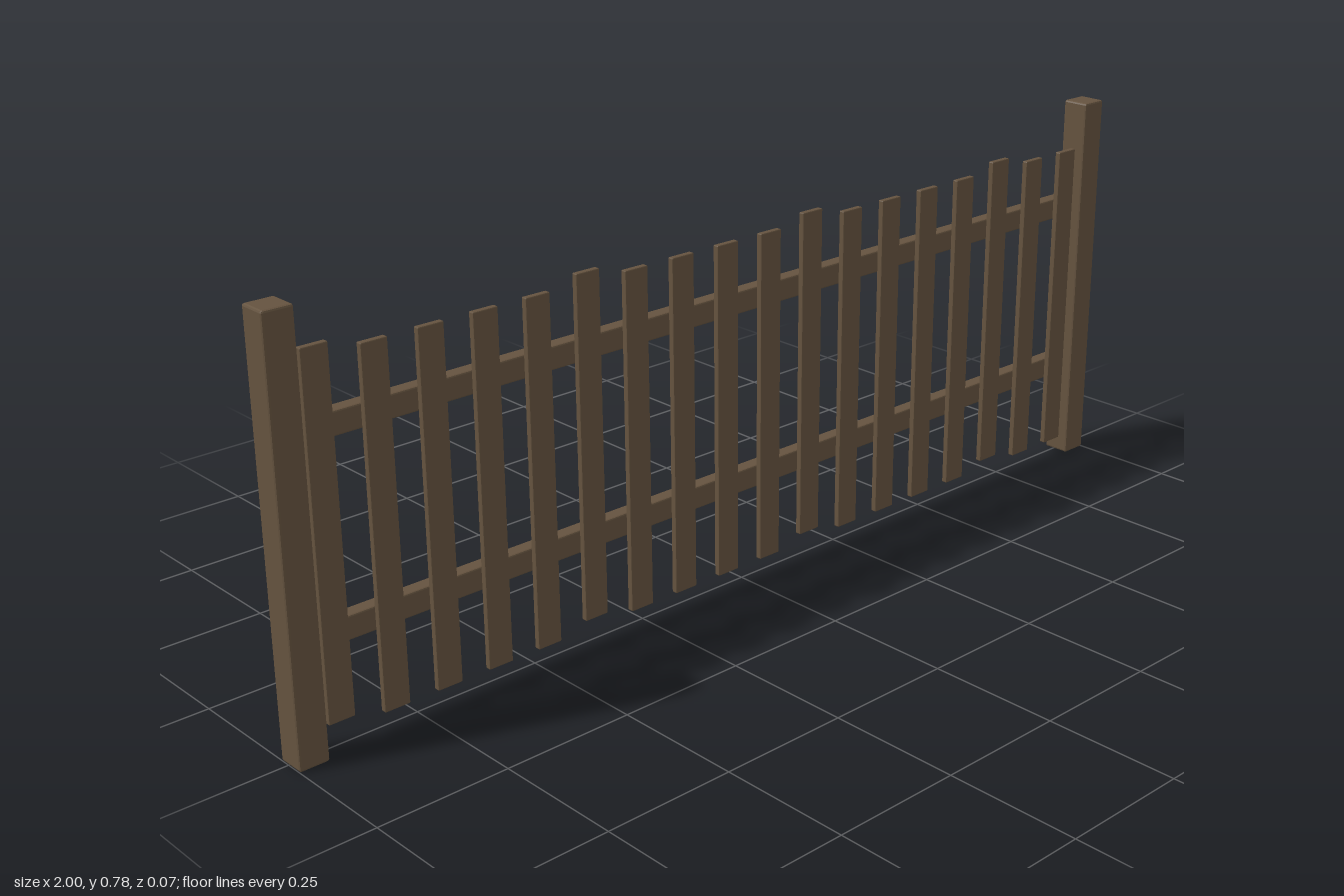
import * as THREE from 'three';
import { RoundedBoxGeometry } from 'three/addons/geometries/RoundedBoxGeometry.js';

export function createModel() {
  const fence = new THREE.Group();
  fence.name = 'picketFence';
  const wood = new THREE.MeshStandardMaterial({ color: 0x65533f, flatShading: true });

  // Timber with narrow bevelled edges, given by its extents on each axis
  function timber(name, [x0, x1], [y0, y1], [z0, z1], bevel) {
    const geometry = new RoundedBoxGeometry(x1 - x0, y1 - y0, z1 - z0, 1, bevel);
    const mesh = new THREE.Mesh(geometry, wood);
    mesh.name = name;
    mesh.position.set((x0 + x1) / 2, (y0 + y1) / 2, (z0 + z1) / 2);
    fence.add(mesh);
  }

  // End posts
  timber('leftPost', [0.944, 1], [0, 0.777], [-0.021, 0.035], 0.004);
  timber('rightPost', [-1, -0.944], [0, 0.777], [-0.021, 0.035], 0.004);

  // Horizontal rails, set into the backs of the posts
  timber('lowerRail', [-0.968, 0.968], [0.174, 0.218], [-0.035, -0.006], 0.003);
  timber('upperRail', [-0.968, 0.968], [0.53, 0.573], [-0.035, -0.006], 0.003);

  // Pickets in front of the rails; every fifth one sits a little higher
  const count = 18;
  const reach = 0.908;
  for (let i = 0; i < count; i++) {
    const x = -reach + (2 * reach * i) / (count - 1);
    const lift = i % 5 === 0 ? 0.018 : 0;
    timber(`picket${i + 1}`, [x - 0.025, x + 0.025], [0.036 + lift, 0.682 + lift], [0.01, 0.022], 0.002);
  }
  return fence;
}
